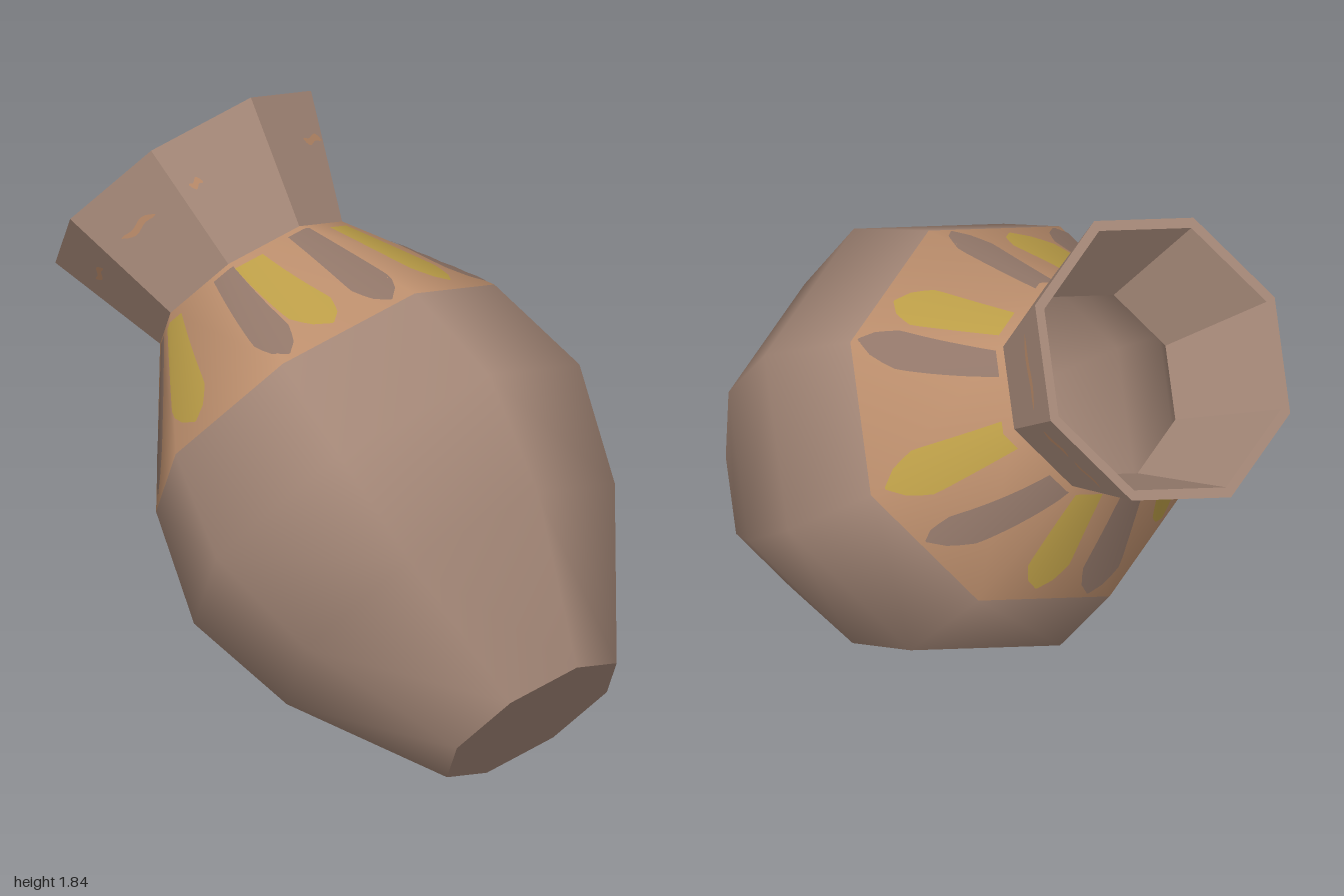
import * as THREE from 'three';

const SIDES = 8;
const STEP = 360 / SIDES;
const rad = THREE.MathUtils.degToRad;

const mat = (name, color) => {
  const m = new THREE.MeshStandardMaterial({ color });
  m.name = name;
  return m;
};

// Profile rings [radius, height along the axis]
const BASE = [0.302, 0], NECK = [0.324, 1.583], RIM = [0.455, 1.966], SHOULDER = [0.602, 1.165];
const BODY = [BASE, [0.584, 0.457], [0.686, 0.818], SHOULDER, NECK];

const lathe = (pts) => new THREE.LatheGeometry(pts.map(p => new THREE.Vector2(...p)), SIDES);

function flat(geo) {
  const g = geo.toNonIndexed();
  g.computeVertexNormals();
  return g;
}

// Outer radius of the eight-sided surface between two rings
function radiusAt(a, b, deg, t) {
  const r = a[0] + (b[0] - a[0]) * (t - a[1]) / (b[1] - a[1]);
  const off = ((deg % STEP) + STEP) % STEP - STEP / 2;
  return r * Math.cos(rad(STEP / 2)) / Math.cos(rad(off));
}

// Thin painted patch laid on the surface; place(u, v) gives [angle, height]
function patch(rings, lift, cols, rows, place, smooth) {
  const geo = new THREE.PlaneGeometry(1, 1, cols, rows);
  const pos = geo.attributes.position, nor = geo.attributes.normal;
  const slope = (rings[0][0] - rings[1][0]) / (rings[1][1] - rings[0][1]);
  const n = new THREE.Vector3();
  for (let i = 0; i < pos.count; i++) {
    const [deg, t] = place(pos.getX(i) * 2, pos.getY(i) + 0.5);
    const r = radiusAt(...rings, deg, t) + lift;
    const s = Math.sin(rad(deg)), c = Math.cos(rad(deg));
    pos.setXYZ(i, r * s, t, r * c);
    n.set(s, slope, c).normalize();
    nor.setXYZ(i, n.x, n.y, n.z);
  }
  if (!smooth) geo.computeVertexNormals();
  return geo;
}

// Leaf shape, rounded at the low tip and narrowing towards the neck
function petal(tipDeg, topDeg, tipT, topT, width, lift = 0.005, flip = 1) {
  return patch([SHOULDER, NECK], lift, 8, 12, (u, v) => {
    const w = width * Math.min(1, Math.sqrt(v / 0.28) + 0.05) * (1 - 0.5 * Math.max(0, v - 0.28));
    const t = tipT + (topT - tipT) * v;
    const r = SHOULDER[0] + (NECK[0] - SHOULDER[0]) * (t - SHOULDER[1]) / (NECK[1] - SHOULDER[1]);
    const half = THREE.MathUtils.radToDeg(w / r);
    return [tipDeg + (topDeg - tipDeg) * v + flip * u * half, t];
  }, true);
}

export function createModel() {
  const clay = mat('clay', 0xa58878);
  const tan = mat('tan band', 0xbe906e);
  const yellow = mat('ochre yellow', 0xbd9f48);
  const grey = mat('grey brown', 0x93786a);
  const streak = mat('orange streak', 0xb98a69);

  const model = new THREE.Group();
  model.name = 'tiltedVase';
  const vase = new THREE.Group();
  vase.name = 'vase';
  vase.position.set(0, 0.232, 0.802);
  vase.rotation.x = rad(-50);
  model.add(vase);

  const add = (name, geo, material) => {
    const m = new THREE.Mesh(geo, material);
    m.name = name;
    vase.add(m);
  };

  // Smooth belly, with the top ring of faces coloured as the band
  const body = lathe(BODY);
  const rows = BODY.length - 1;
  for (let i = 0; i < SIDES; i++) {
    body.addGroup(i * rows * 6, (rows - 1) * 6, 0);
    body.addGroup((i * rows + rows - 1) * 6, 6, 1);
  }
  add('body', body, [clay, tan]);
  add('base', flat(lathe([[0, 0], BASE])), clay);

  // Flared neck with a thick lip, and the hollow inside
  add('neck', flat(lathe([NECK, RIM, [0.422, RIM[1]], [0.29, NECK[1]]])), clay);
  add('hollow', lathe([[0.29, NECK[1]], [0.57, 1.165], [0.65, 0.818], [0.55, 0.457], [0.27, 0.04], [0, 0.04]]), clay);

  // Petals around the band: [tip angle, top angle]
  const yellows = [[28, 30], [90, 92], [152, 149], [209, 211], [279, 270], [335, 325]];
  const greys = [[44, 54], [111, 129], [172, 176], [232, 242], [318, 310], [354, 357]];
  for (const [a, b] of yellows) add('yellowPetal', petal(a, b, 1.21, 1.555, 0.076), yellow);
  for (const [a, b] of greys) add('greyPetal', petal(a, b, 1.185, 1.565, 0.062), grey);
  add('innerPetal', petal(178, 178, 1.25, 1.55, 0.07, -0.042, -1), yellow);

  // Broken streaks around the neck: [from angle, to angle, half height]
  const streaks = [[29, 43, 0.011], [51, 84, 0.014], [94, 110, 0.013], [113, 130, 0.01],
    [142, 160, 0.01], [320, 326, 0.011], [280, 300, 0.01], [240, 255, 0.01]];
  for (const [a, b, h] of streaks) {
    add('neckStreak', patch([NECK, RIM], 0.004, 10, 1, (u, v) => [
      a + (b - a) * (u + 1) / 2,
      1.825 + (v - 0.5) * 2 * h * Math.sqrt(1.02 - u * u) + 0.006 * Math.sin(u * 4),
    ], false), streak);
  }
  return model;
}
